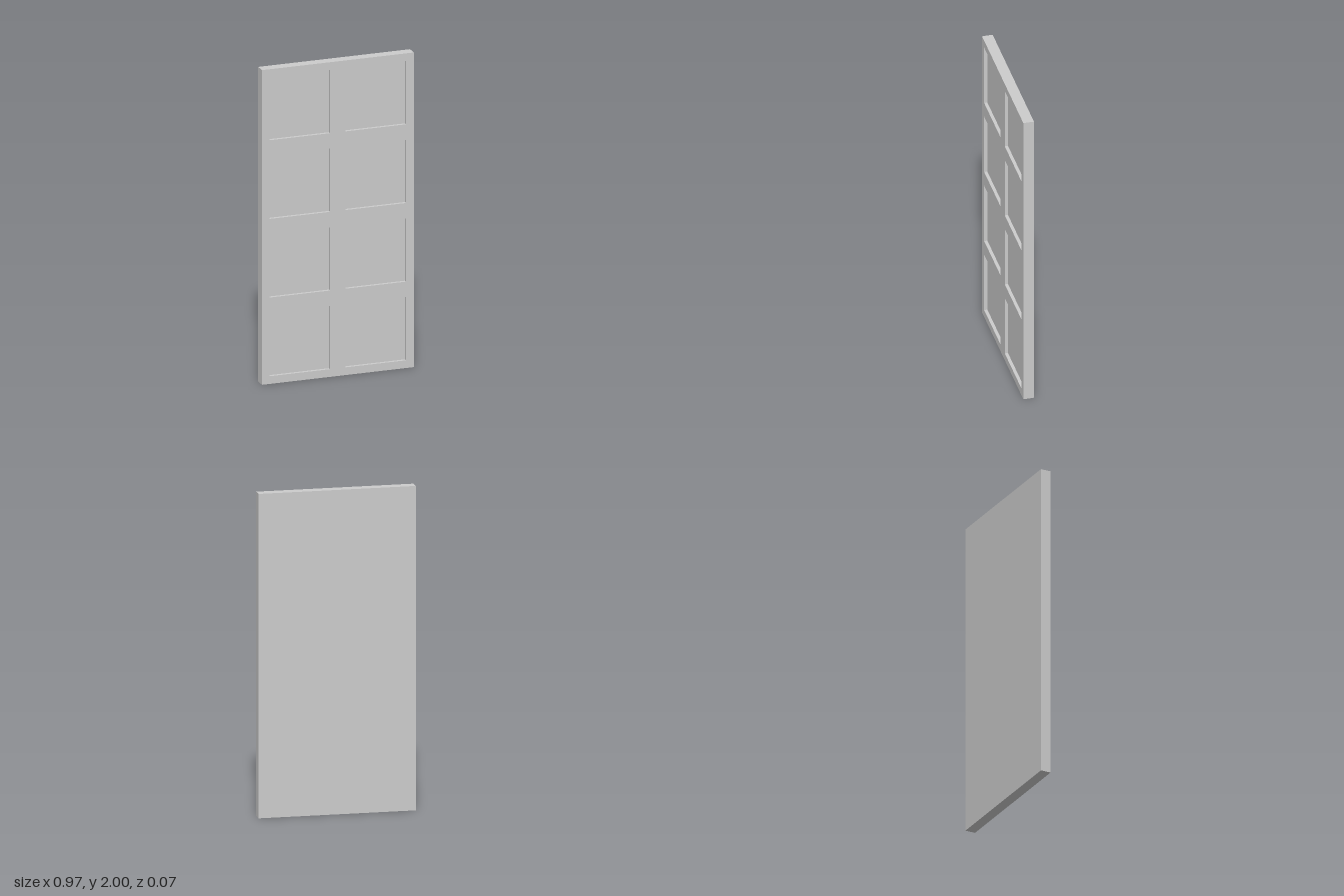
import * as THREE from 'three';

const W = 0.972, H = 2, D = 0.066;          // door leaf
const MARGIN = 0.049, GAP = 0.098;          // border and bars between panels
const COLS = 2, ROWS = 4, RECESS = 0.02;
const PW = (W - 2 * MARGIN - (COLS - 1) * GAP) / COLS;
const PH = (H - 2 * MARGIN - (ROWS - 1) * GAP) / ROWS;

// Box without its +z face; inward = true turns it into a recess seen from the front
function openBox(w, h, d, inward) {
  const g = new THREE.BoxGeometry(w, h, d);
  const index = Array.from(g.index.array).filter((_, i) => i < 24 || i >= 30);
  if (inward) {
    index.reverse();
    const n = g.attributes.normal;
    for (let i = 0; i < n.count; i++) n.setXYZ(i, -n.getX(i), -n.getY(i), -n.getZ(i));
  }
  g.clearGroups();
  g.setIndex(index);
  return g;
}

function rectangle(path, x, y, w, h) {
  return path.moveTo(x, y).lineTo(x + w, y).lineTo(x + w, y + h).lineTo(x, y + h).closePath();
}

export function createModel() {
  const door = new THREE.Group();
  door.name = 'panelDoor';
  const material = new THREE.MeshStandardMaterial({ color: 0xcccccc });
  const add = (name, geometry, x, y, z) => {
    const mesh = new THREE.Mesh(geometry, material);
    mesh.name = name;
    mesh.position.set(x, y, z);
    door.add(mesh);
  };

  // Back and edges of the leaf
  add('doorLeaf', openBox(W, H, D, false), 0, H / 2, 0);

  // Front face with an opening and a shallow recess for each panel
  const face = rectangle(new THREE.Shape(), -W / 2, 0, W, H);
  const recess = openBox(PW, PH, RECESS, true);
  for (let row = 0; row < ROWS; row++) {
    for (let col = 0; col < COLS; col++) {
      const x = -W / 2 + MARGIN + col * (PW + GAP);
      const y = MARGIN + row * (PH + GAP);
      face.holes.push(rectangle(new THREE.Path(), x, y, PW, PH));
      add('recessedPanel', recess, x + PW / 2, y + PH / 2, D / 2 - RECESS / 2);
    }
  }
  add('frontFrame', new THREE.ShapeGeometry(face), 0, 0, D / 2);

  return door;
}
